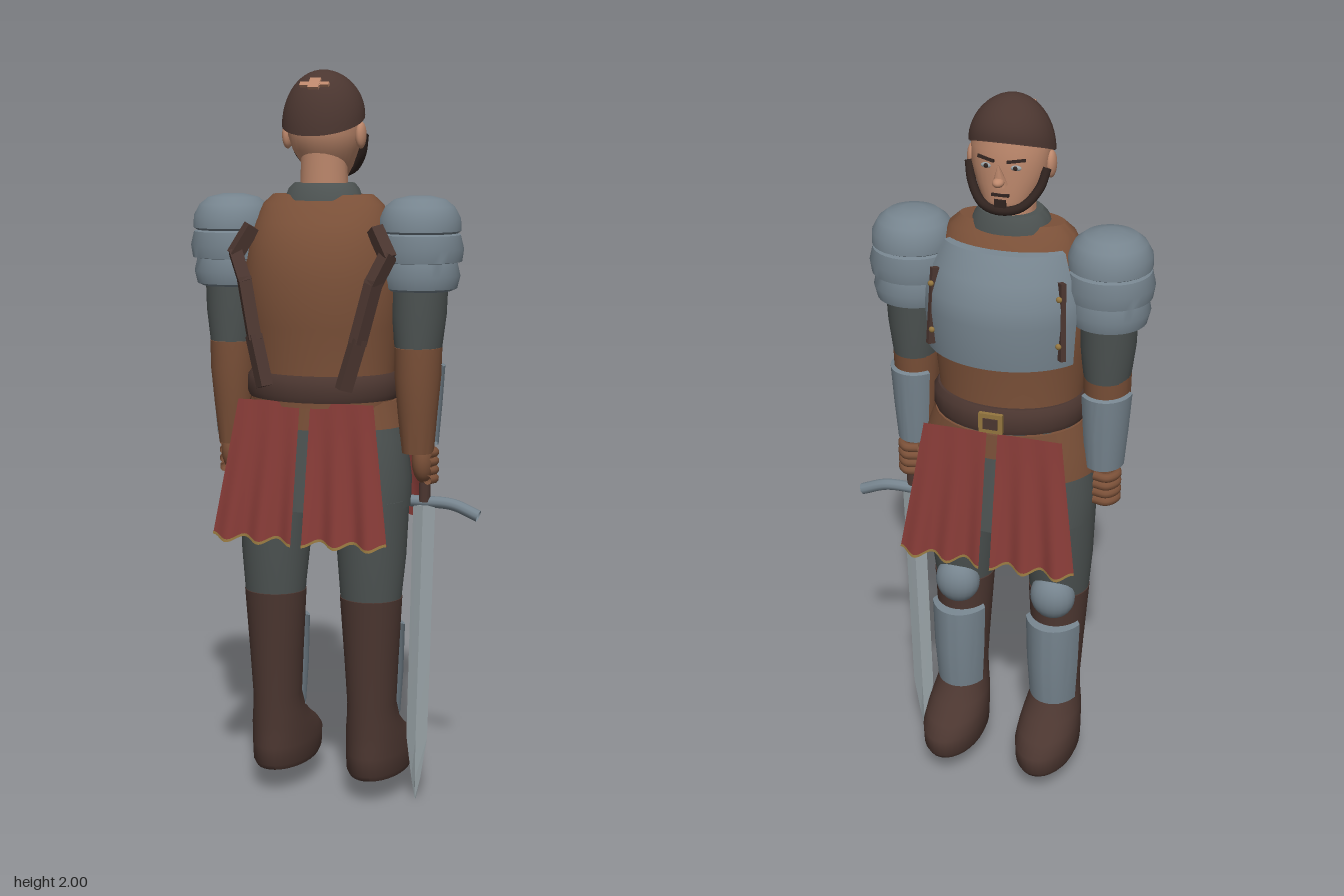
import * as THREE from 'three';
import { toCreasedNormals } from 'three/addons/utils/BufferGeometryUtils.js';

const mat = (name, color) => new THREE.MeshStandardMaterial({ name, color, side: THREE.DoubleSide });

// Stacked ellipses, bottom to top: [y, rx, rz, cz, cx]. Angle 0 is the back (+z), PI the front (-z).
function loft(rings, { seg = 32, mid = Math.PI, half = Math.PI, crease = 0.7 } = {}) {
  const pos = [], idx = [], w = seg + 1;
  const closed = half === Math.PI;
  for (const [y, rx, rz, cz = 0, cx = 0] of rings) {
    for (let j = 0; j <= seg; j++) {
      const a = mid - half + (2 * half * j) / seg;
      pos.push(cx + rx * Math.sin(a), y, cz + rz * Math.cos(a));
    }
  }
  for (let i = 0; i < rings.length - 1; i++) {
    for (let j = 0; j < seg; j++) {
      const a = i * w + j;
      idx.push(a, a + 1, a + w + 1, a, a + w + 1, a + w);
    }
  }
  if (closed) {
    [0, rings.length - 1].forEach((i) => {
      const [y, , , cz = 0, cx = 0] = rings[i];
      const c = pos.length / 3;
      pos.push(cx, y, cz);
      for (let j = 0; j < seg; j++) {
        const a = i * w + j;
        i ? idx.push(c, a, a + 1) : idx.push(c, a + 1, a);
      }
    });
  }
  const g = new THREE.BufferGeometry();
  g.setAttribute('position', new THREE.Float32BufferAttribute(pos, 3));
  g.setIndex(idx);
  return toCreasedNormals(g, crease);
}

// Hanging cloth panel between heights t0..t1 (0 top, 1 hem), fluted towards the hem
function panel(sx, sz, t0, t1, lift = 0) {
  const g = new THREE.PlaneGeometry(1, 1, 28, 8);
  const p = g.attributes.position;
  for (let i = 0; i < p.count; i++) {
    const u = p.getX(i) + 0.5, t = t0 + (t1 - t0) * (0.5 - p.getY(i));
    const x = 0.015 + u * (0.175 + 0.055 * t);
    const z = 0.16 + 0.065 * t + 0.011 * t * Math.cos(u * 5 * Math.PI) + lift;
    p.setXYZ(i, sx * x, 1.135 - 0.37 * t - 0.008 * t * Math.cos(u * 5 * Math.PI), sz * z);
  }
  g.computeVertexNormals();
  return g;
}

export function createModel() {
  const steel = mat('steel', 0x76848e), cloth = mat('greyCloth', 0x4d5352);
  const leather = mat('leather', 0x7a5038), dark = mat('darkLeather', 0x4b3630);
  const red = mat('redCloth', 0x843a36), skin = mat('skin', 0xbd886c);
  const gold = mat('brass', 0x94763f), black = mat('darkHair', 0x30231f), pale = mat('bladeSteel', 0x98a2a6);

  const model = new THREE.Group();
  const body = new THREE.Group();
  body.name = 'soldier';
  body.position.x = -0.025;
  model.add(body);

  const add = (name, geo, material, parent = body) => {
    const m = new THREE.Mesh(geo, material);
    m.name = name;
    parent.add(m);
    return m;
  };
  const box = (name, size, at, material) => {
    const m = add(name, new THREE.BoxGeometry(...size), material);
    m.position.set(...at);
    return m;
  };
  const ball = (name, at, size, material, parent) => {
    const m = add(name, new THREE.SphereGeometry(1, 20, 14), material, parent);
    m.position.set(...at);
    m.scale.set(...size);
    return m;
  };
  // Flat bar between two points
  const beam = (name, a, b, w, d, material) => {
    const p = new THREE.Vector3(...a), q = new THREE.Vector3(...b), dir = q.clone().sub(p);
    const m = add(name, new THREE.BoxGeometry(w, dir.length() + w * 0.4, d), material);
    m.position.copy(p).add(q).multiplyScalar(0.5);
    m.quaternion.setFromUnitVectors(new THREE.Vector3(0, 1, 0), dir.normalize());
  };
  const tube = (name, pts, r, material, parent) => add(name, new THREE.TubeGeometry(
    new THREE.CatmullRomCurve3(pts.map((p) => new THREE.Vector3(...p))), 32, r, 10), material, parent);

  // Torso, breastplate, collar and belt
  add('jerkin', loft([[1.12, .198, .16, .012], [1.2, .195, .157, .013], [1.33, .21, .17, .015], [1.45, .22, .176, .015],
    [1.55, .205, .155, .015], [1.6, .188, .128, .015], [1.65, .168, .09, .015], [1.675, .14, .065, .015]], { seg: 48 }), leather);
  add('breastplate', loft([[1.325, .205, .165, .01], [1.33, .226, .194, .01], [1.45, .235, .207, .01], [1.5, .232, .2, .01],
    [1.56, .212, .175, .01], [1.62, .186, .128, .01], [1.625, .165, .1, .01]], { half: 1.05 }), steel);
  add('collar', loft([[1.66, .108, .092, .01], [1.69, .096, .085, .008], [1.705, .082, .076, .005]]), cloth);
  add('belt', loft([[1.135, .206, .172, .01], [1.15, .212, .177, .01], [1.19, .211, .175, .01], [1.205, .2, .164, .01]]), dark);
  box('buckle', [.065, .055, .012], [0, 1.17, -.17], gold);
  box('buckleCentre', [.04, .03, .014], [0, 1.17, -.173], dark);

  // Short grey tunic with leather flaps over the hips
  add('tunicSkirt', loft([[.84, .242, .18], [.92, .242, .174], [1.03, .228, .162], [1.13, .198, .155]]), cloth);
  add('hipBand', loft([[1.06, .226, .166], [1.13, .205, .162]]), leather);

  // Head
  add('neck', loft([[1.66, .066, .062, .005], [1.8, .06, .06, .01]]), skin);
  add('head', loft([[1.712, .03, .025, -.052], [1.72, .045, .037, -.048], [1.75, .068, .064, -.024], [1.79, .088, .082, -.006],
    [1.83, .1, .088, 0], [1.88, .102, .09, .003], [1.93, .09, .08, .005]], { crease: 1.2 }), skin);
  const nose = add('nose', new THREE.ConeGeometry(.02, .06, 8), skin);
  nose.position.set(0, 1.828, -.098);
  nose.rotation.x = -0.25;
  ball('noseTip', [0, 1.808, -.105], [.015, .012, .018], skin);
  box('mouth', [.045, .007, .01], [0, 1.77, -.087], black);
  tube('beard', [[-.102, 1.83, -.025], [-.088, 1.78, -.045], [-.05, 1.738, -.076], [0, 1.728, -.087],
    [.05, 1.738, -.076], [.088, 1.78, -.045], [.102, 1.83, -.025]], .012, black);
  box('chinTuft', [.03, .026, .01], [0, 1.745, -.088], black);

  // Cap: a dome whose rim dips towards the back
  const capGeo = new THREE.SphereGeometry(1, 36, 14, 0, Math.PI * 2, 0, Math.PI / 2);
  const cp = capGeo.attributes.position;
  for (let i = 0; i < cp.count; i++) {
    const h = cp.getY(i), z = cp.getZ(i) * 0.105;
    cp.setXYZ(i, cp.getX(i) * 0.111, 1.868 + 0.132 * h - 0.39 * z * (1 - h), z + 0.012);
  }
  capGeo.computeVertexNormals();
  add('cap', capGeo, dark);
  add('capUnderside', loft([[0, .109, .103], [.004, .109, .103]]), dark).position.set(0, 1.866, .012);
  body.children.at(-1).rotation.x = 0.37;
  [[.08, .012, 1.96], [.03, .034, 1.962]].forEach(([w, h, y]) => {
    box('capPatch', [w, h, .009], [0, y, .082], skin).rotation.x = -0.75;
  });

  for (const s of [-1, 1]) {
    const side = s < 0 ? 'right' : 'left';

    // Face details
    ball('ear', [s * .103, 1.83, .008], [.014, .036, .023], skin);
    ball('eye', [s * .038, 1.842, -.081], [.015, .007, .006], pale);
    ball('pupil', [s * .038, 1.842, -.085], [.006, .006, .004], black);
    beam('eyebrow', [s * .018, 1.857, -.088], [s * .06, 1.862, -.075], .008, .008, black);

    // Straps on back and breast
    const path = [[.175, 1.585, .1], [.212, 1.52, .115], [.18, 1.45, .135], [.145, 1.3, .155], [.112, 1.18, .168]];
    for (let i = 0; i < 4; i++) {
      beam('backStrap', [s * path[i][0], ...path[i].slice(1)], [s * path[i + 1][0], ...path[i + 1].slice(1)], .036, .034, dark);
    }
    beam('breastStrap', [s * .168, 1.56, -.108], [s * .176, 1.36, -.128], .014, .022, dark);
    for (const y of [1.4, 1.53]) ball('strapStud', [s * .17, y, -.138], [.008, .008, .006], gold);

    // Cloth panels, front and back
    for (const z of [-1, 1]) {
      add('skirtPanel', panel(s, z, 0, 1), red);
      add('panelTrim', panel(s, z, .98, 1, .002), gold);
    }
    add('hipFlap', loft([[.99, .244, .178], [1.06, .232, .172], [1.13, .207, .165]],
      { seg: 12, mid: s * Math.PI / 2 + s * .25, half: .45 }), leather);

    // Arm
    const arm = new THREE.Group();
    arm.name = side + 'Arm';
    arm.position.x = s * .265;
    body.add(arm);
    add('pauldron', loft([[1.425, .085, .085], [1.432, .1, .1], [1.465, .108, .108], [1.5, .1, .1], [1.502, .112, .112],
      [1.535, .117, .117], [1.572, .108, .11], [1.576, .1, .1], [1.582, .109, .112], [1.615, .108, .11], [1.645, .092, .092],
      [1.664, .068, .068], [1.673, .03, .03]]), steel, arm);
    add('upperArm', loft([[1.27, .062, .074, .005], [1.36, .073, .083, .003], [1.45, .076, .088]]), cloth, arm);
    add('forearm', loft([[.99, .043, .048, .004], [1.1, .053, .06, .008], [1.2, .062, .071, .008], [1.275, .063, .075, .006],
      [1.28, .055, .066, .006]]), leather, arm);
    add('vambrace', loft([[1.01, .045, .05], [1.012, .054, .064], [1.12, .063, .074], [1.225, .07, .08], [1.23, .06, .07]],
      { seg: 20, mid: Math.PI - s * .35, half: 1.25 }), steel, arm);
    ball('hand', [s * .012, .965, -.008], [.03, .06, .04], leather, arm);
    for (let i = 0; i < 4; i++) {
      tube('finger', [[s * .03, .988 - i * .024, .012], [s * .04, .988 - i * .024, -.02], [s * .02, .988 - i * .024, -.05],
        [-s * .015, .988 - i * .024, -.045]], .0125, leather, arm);
    }

    // Leg
    const leg = new THREE.Group();
    leg.name = side + 'Leg';
    leg.position.x = s * .14;
    body.add(leg);
    add('trouserLeg', loft([[.57, .083, .079, .022], [.7, .094, .1, .015], [.86, .1, .112, .01]]), cloth, leg);
    add('boot', loft([[.07, .08, .148, -.07], [.085, .086, .158, -.07], [.135, .088, .16, -.07], [.165, .085, .14, -.053],
      [.195, .08, .113, -.026], [.23, .072, .09, -.003], [.28, .067, .079, .01], [.4, .074, .08, .014], [.585, .086, .085, .02],
      [.587, .08, .078, .02]], { crease: 1 }), dark, leg);
    add('greave', loft([[.23, .068, .085, .01], [.235, .076, .1, .01], [.36, .084, .114, .01], [.495, .088, .115, .01],
      [.5, .078, .09, .01]], { seg: 20, half: 1.12 }), steel, leg);
    ball('kneeGuard', [0, .582, -.045], [.064, .07, .054], steel, leg);
  }

  // Sword held point down in the left-hand fist
  const sword = new THREE.Group();
  sword.name = 'sword';
  model.add(sword);
  add('blade', loft([[0, .002, .004, -.022, .233], [.06, .013, .008, -.022, .234], [.18, .03, .011, -.022, .236],
    [.84, .031, .013, -.022, .252]], { seg: 4, crease: .1 }), pale, sword);
  tube('crossguard', [[.11, .815, -.03], [.18, .845, -.03], [.25, .848, -.03], [.33, .845, -.03], [.402, .818, -.03]], .016, steel, sword);
  add('grip', loft([[.85, .016, .016, -.025, .252], [1.01, .014, .014, -.025, .252]], { seg: 12 }), dark, sword);
  ball('pommel', [.252, 1.02, -.025], [.022, .022, .022], steel, sword);

  return model;
}
